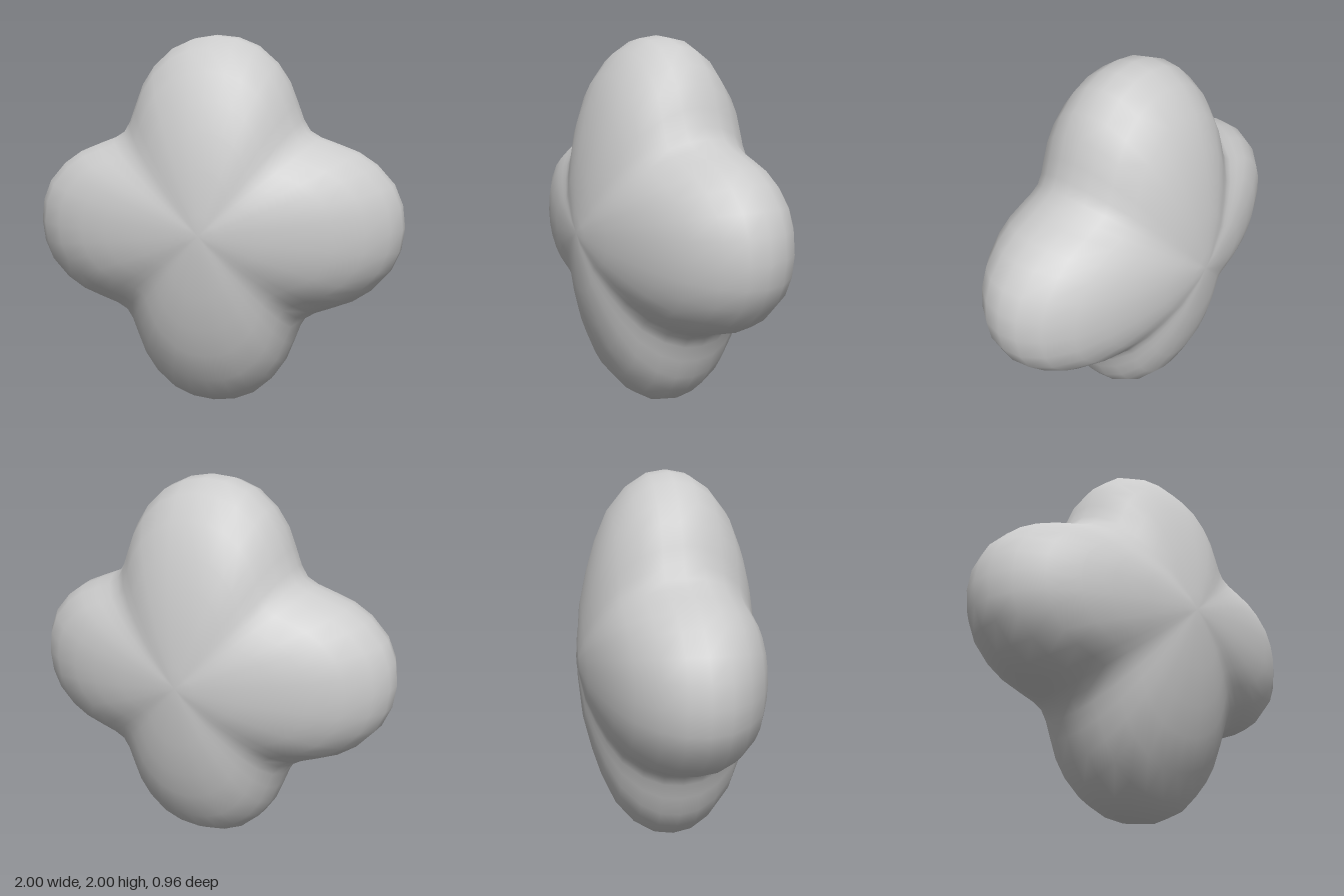
import * as THREE from 'three';
import { mergeVertices } from 'three/addons/utils/BufferGeometryUtils.js';

// Half of one lobe in the xy plane, from its tip to the valley between lobes
const HALF_LOBE = [[0, 1], [0.118, 0.985], [0.225, 0.94], [0.326, 0.85],
  [0.39, 0.755], [0.433, 0.645], [0.465, 0.558], [0.5, 0.5]];

// Rings from the front pole to the widest section: [outline scale, z]
const FRONT_RINGS = [[0, 0.478], [0.1, 0.477], [0.32, 0.455], [0.5, 0.412],
  [0.645, 0.367], [0.8, 0.298], [0.92, 0.199], [0.983, 0.1], [1, 0]];

// Closed counter-clockwise outline: the half lobe mirrored, then turned four times
function fourLobeOutline() {
  const mirrored = HALF_LOBE.slice(1).reverse();
  const lobe = [...mirrored, ...HALF_LOBE.slice(0, -1).map(([x, y]) => [-x, y])];
  const outline = [];
  for (let turn = 0; turn < 4; turn++) {
    const angle = turn * Math.PI / 2, c = Math.cos(angle), s = Math.sin(angle);
    for (const [x, y] of lobe) outline.push([x * c - y * s, x * s + y * c]);
  }
  return outline;
}

// Skin the scaled outlines from the front pole to the back pole
function lobedBodyGeometry() {
  const outline = fourLobeOutline();
  const rings = [...FRONT_RINGS,
    ...FRONT_RINGS.slice(0, -1).reverse().map(([r, z]) => [r, -z])];
  const n = outline.length, last = rings.length - 1;
  const positions = [], indices = [];
  for (const [r, z] of rings)
    for (const [x, y] of outline) positions.push(x * r, y * r, z);
  for (let j = 0; j < last; j++)
    for (let i = 0; i < n; i++) {
      const k = (i + 1) % n;
      const a = j * n + i, b = a + n, c = (j + 1) * n + k, d = j * n + k;
      if (j < last - 1) indices.push(a, b, c);
      if (j > 0) indices.push(a, c, d);
    }
  const geometry = new THREE.BufferGeometry();
  geometry.setAttribute('position', new THREE.Float32BufferAttribute(positions, 3));
  geometry.setIndex(indices);
  const welded = mergeVertices(geometry); // one shared vertex at each pole
  welded.computeVertexNormals();
  return welded;
}

export function createModel() {
  const group = new THREE.Group();
  group.name = 'fourLobedForm';
  const body = new THREE.Mesh(lobedBodyGeometry(),
    new THREE.MeshStandardMaterial({ color: 0xcccccc }));
  body.name = 'lobedBody';
  body.position.y = 1;
  group.add(body);
  return group;
}
